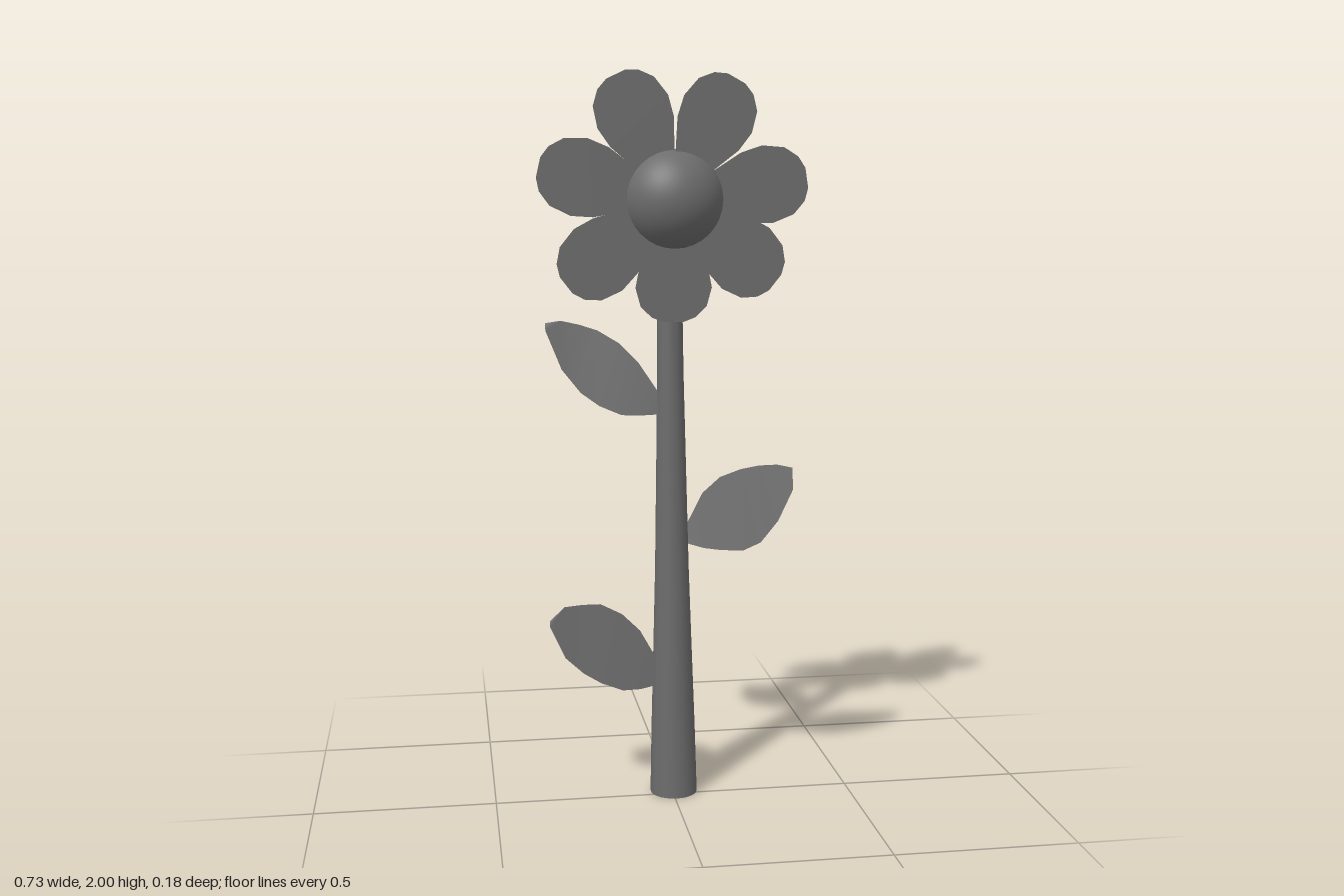
import * as THREE from 'three';
import { toCreasedNormals } from 'three/addons/utils/BufferGeometryUtils.js';

const solid = new THREE.MeshStandardMaterial({ color: 0x6c6c6c });
const sheet = new THREE.MeshStandardMaterial({ color: 0x6c6c6c, side: THREE.DoubleSide });

function part(name, geometry, material) {
  const mesh = new THREE.Mesh(geometry, material);
  mesh.name = name;
  return mesh;
}

// Tapered stem with closed ends, leaning slightly towards -x
function stem() {
  const profile = [[0, 0], [0.066, 0], [0.061, 0.2], [0.054, 0.42], [0.047, 0.65],
    [0.042, 0.9], [0.036, 1.2], [0.033, 1.53], [0, 1.53]];
  const geo = new THREE.LatheGeometry(profile.map(p => new THREE.Vector2(...p)), 18);
  const pos = geo.attributes.position;
  for (let i = 0; i < pos.count; i++) {
    pos.setX(i, pos.getX(i) + 0.005 - 0.0075 * pos.getY(i));
  }
  geo.translate(0, 0, -0.025);
  return part('stem', toCreasedNormals(geo, 0.8), solid);
}

// Thin leaf: lower and upper edge heights at each distance from the stem, leaning in z
const leafX = [0.04, 0.09, 0.14, 0.2, 0.25, 0.3, 0.342];

function leaf(name, { side, reach, low, high, zBase, zTip, tilt }) {
  const vertices = [], index = [];
  leafX.forEach((x, i) => {
    const t = (x - 0.04) / 0.302;
    const z = zBase + (zTip - zBase) * t;
    const spread = tilt * (0.25 + 0.75 * Math.sin(Math.PI * t));
    const px = side * (0.04 + (x - 0.04) * reach);
    vertices.push(px, low[i], z + spread, px, high[i], z - spread);
    if (i > 0) {
      const a = 2 * i - 2;
      if (side > 0) index.push(a, a + 2, a + 1, a + 1, a + 2, a + 3);
      else index.push(a, a + 1, a + 2, a + 1, a + 3, a + 2);
    }
  });
  const geo = new THREE.BufferGeometry();
  geo.setAttribute('position', new THREE.Float32BufferAttribute(vertices, 3));
  geo.setIndex(index);
  geo.computeVertexNormals();
  return part(name, geo, sheet);
}

// Flat petal pointing along +x from the flower centre
function petalGeometry(length) {
  const half = [[0.1, 0.05], [0.2, 0.094], [0.26, 0.104], [0.32, 0.09], [0.355, 0.06], [0.37, 0.027]];
  const outline = [...half.map(([r, w]) => [r, -w]), ...half.slice().reverse()]
    .map(([r, w]) => new THREE.Vector2(0.1 + (r - 0.1) * length, w));
  return new THREE.ShapeGeometry(new THREE.Shape(outline));
}

// Angle in degrees and relative length of each petal, from the bottom one round
const petals = [[-90, 0.84], [-38.6, 0.95], [9, 0.99], [62, 0.96], [115.5, 0.96], [167, 1], [218, 0.99]];

function flower() {
  const group = new THREE.Group();
  group.name = 'flower';
  petals.forEach(([angle, length], i) => {
    const geo = petalGeometry(length).rotateZ(THREE.MathUtils.degToRad(angle));
    // One upper petal is turned slightly
    if (i === 3) {
      const pos = geo.attributes.position;
      for (let k = 0; k < pos.count; k++) {
        pos.setZ(k, 0.009 - 0.04 * pos.getX(k) - 0.01 * pos.getY(k));
      }
      geo.computeVertexNormals();
    }
    const petal = part('petal', geo, sheet);
    petal.position.z = 0.011;
    group.add(petal);
  });
  // Domed centre, open at the back
  const dome = new THREE.SphereGeometry(0.1466, 32, 12, 0, Math.PI * 2, 0, 1.137);
  dome.rotateX(Math.PI / 2).translate(0.004, 0, -0.0556);
  group.add(part('flowerCentre', dome, sheet));
  group.position.y = 1.667;
  return group;
}

export function createModel() {
  const model = new THREE.Group();
  model.name = 'flowerPlant';
  model.add(
    stem(),
    leaf('upperRightLeaf', {
      side: -1, reach: 1, zBase: -0.018, zTip: -0.064, tilt: 0.022,
      low: [1.086, 1.084, 1.086, 1.111, 1.147, 1.21, 1.315],
      high: [1.15, 1.226, 1.278, 1.314, 1.33, 1.341, 1.335],
    }),
    leaf('lowerRightLeaf', {
      side: -1, reach: 1, zBase: -0.018, zTip: -0.027, tilt: 0.012,
      low: [0.318, 0.308, 0.307, 0.33, 0.36, 0.405, 0.495],
      high: [0.385, 0.474, 0.522, 0.552, 0.552, 0.548, 0.51],
    }),
    leaf('leftLeaf', {
      side: 1, reach: 0.96, zBase: -0.033, zTip: 0.029, tilt: 0.02,
      low: [0.72, 0.708, 0.704, 0.704, 0.727, 0.788, 0.875],
      high: [0.765, 0.86, 0.904, 0.927, 0.938, 0.942, 0.935],
    }),
    flower(),
  );
  return model;
}
